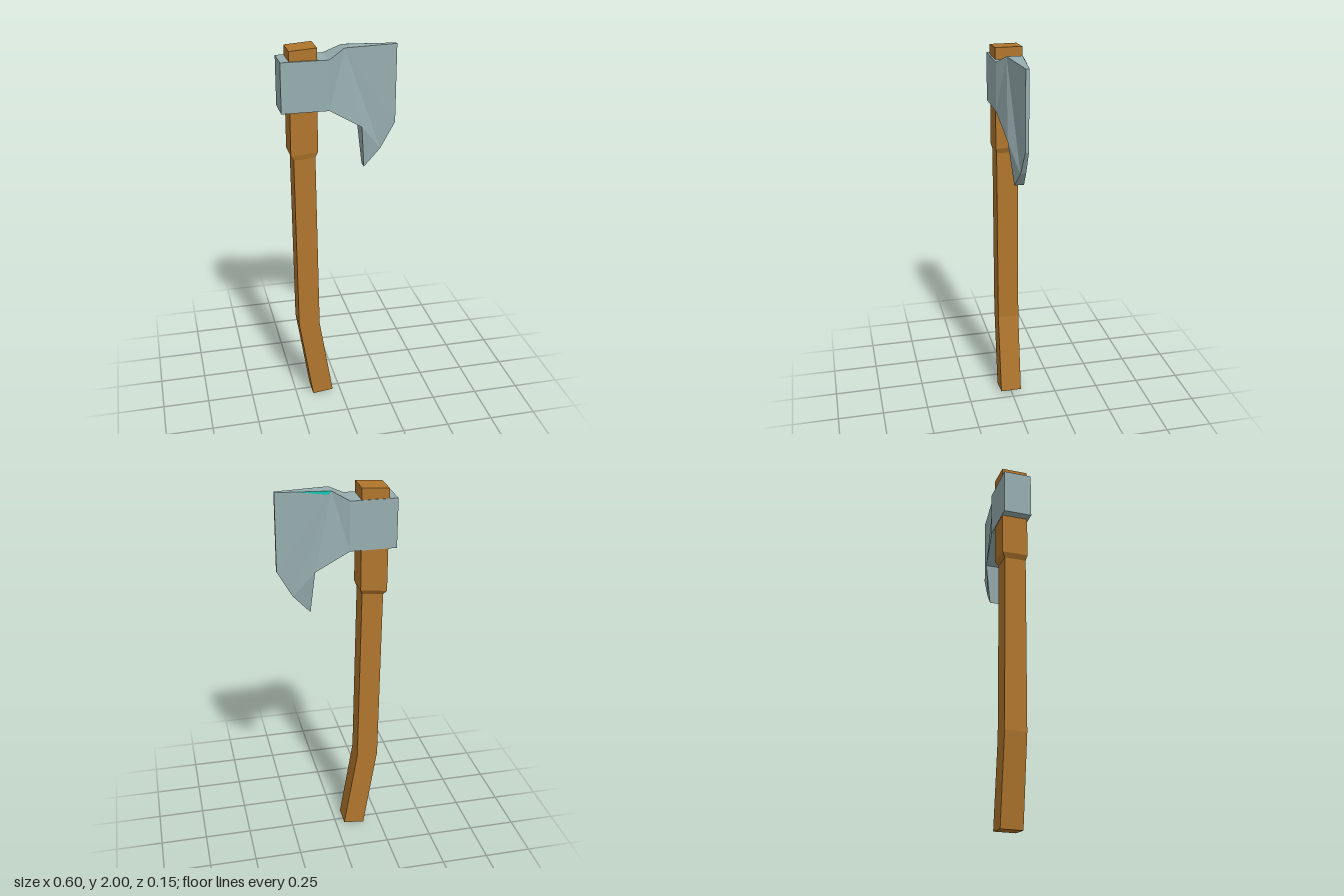
import * as THREE from 'three';

const steel = new THREE.MeshStandardMaterial({ name: 'steel', color: 0x97adaf, flatShading: true });
const wood = new THREE.MeshStandardMaterial({ name: 'wood', color: 0xb0762d, flatShading: true });
const teal = new THREE.MeshStandardMaterial({ name: 'teal', color: 0x14c8b4, flatShading: true, side: THREE.DoubleSide });

// Flat-shaded mesh from points and triangle indices
function facetedMesh(name, points, index, material) {
  const indexed = new THREE.BufferGeometry();
  indexed.setAttribute('position', new THREE.Float32BufferAttribute(points.flat(), 3));
  indexed.setIndex(index);
  const geometry = indexed.toNonIndexed();
  geometry.computeVertexNormals();
  const mesh = new THREE.Mesh(geometry, material);
  mesh.name = name;
  return mesh;
}

// Bent square shaft lofted through four-cornered sections
function makeHandle() {
  // left x, left y, right x, right y, back z, front z
  const sections = [
    [-0.158, 0.0, -0.045, 0.013, -0.055, 0.061],
    [-0.231, 0.47, -0.117, 0.465, -0.055, 0.061],
    [-0.241, 1.432, -0.13, 1.442, -0.055, 0.061],
    [-0.256, 1.457, -0.118, 1.47, -0.073, 0.067],
    [-0.256, 1.99, -0.117, 2.0, -0.073, 0.067],
  ];
  const points = [];
  const index = [];
  sections.forEach(([xl, yl, xr, yr, zb, zf], s) => {
    points.push([xl, yl, zf], [xr, yr, zf], [xr, yr, zb], [xl, yl, zb]);
    if (s === 0) return;
    for (let k = 0; k < 4; k++) {
      const a = s * 4 - 4 + k;
      const b = s * 4 - 4 + (k + 1) % 4;
      index.push(a, b, b + 4, a, b + 4, a + 4);
    }
  });
  const t = points.length - 4;
  index.push(0, 3, 2, 0, 2, 1, t, t + 1, t + 2, t, t + 2, t + 3);
  return facetedMesh('handle', points, index, wood);
}

// Wedge head: outline with a half thickness at each corner
function makeHead() {
  const outline = [
    [-0.3, 1.685, 0.076], [-0.06, 1.685, 0.076], [0.112, 1.58, 0.054],
    [0.132, 1.355, 0.025], [0.22, 1.445, 0.014], [0.298, 1.58, 0.009],
    [0.298, 1.985, 0.009], [0.025, 1.985, 0.04], [-0.06, 1.94, 0.076],
    [-0.3, 1.94, 0.076],
  ];
  const cheek = [[0, 1, 8], [0, 8, 9], [1, 2, 7], [1, 7, 8], [2, 3, 4], [2, 4, 7], [4, 5, 7], [5, 6, 7]];
  const n = outline.length;
  const points = [1, -1].flatMap((side) => outline.map(([x, y, h]) => [x, y, side * h]));
  const index = [];
  for (const [a, b, c] of cheek) index.push(a, b, c, a + n, c + n, b + n);
  for (let i = 0; i < n; i++) {
    const j = (i + 1) % n;
    index.push(i, i + n, j + n, i, j + n, j);
  }
  return facetedMesh('axeHead', points, index, steel);
}

// Thin sliver of colour along the back upper edge of the blade
function makeAccent() {
  const surfaceZ = (x) => -(0.04 - (x - 0.025) / 0.273 * 0.031) - 0.0015;
  const points = [[0.2, 1.985], [0.027, 1.985], [0.038, 1.967]].map(([x, y]) => [x, y, surfaceZ(x)]);
  return facetedMesh('bladeAccent', points, [0, 2, 1], teal);
}

export function createModel() {
  const axe = new THREE.Group();
  axe.name = 'axe';
  axe.add(makeHandle(), makeHead(), makeAccent());
  return axe;
}
